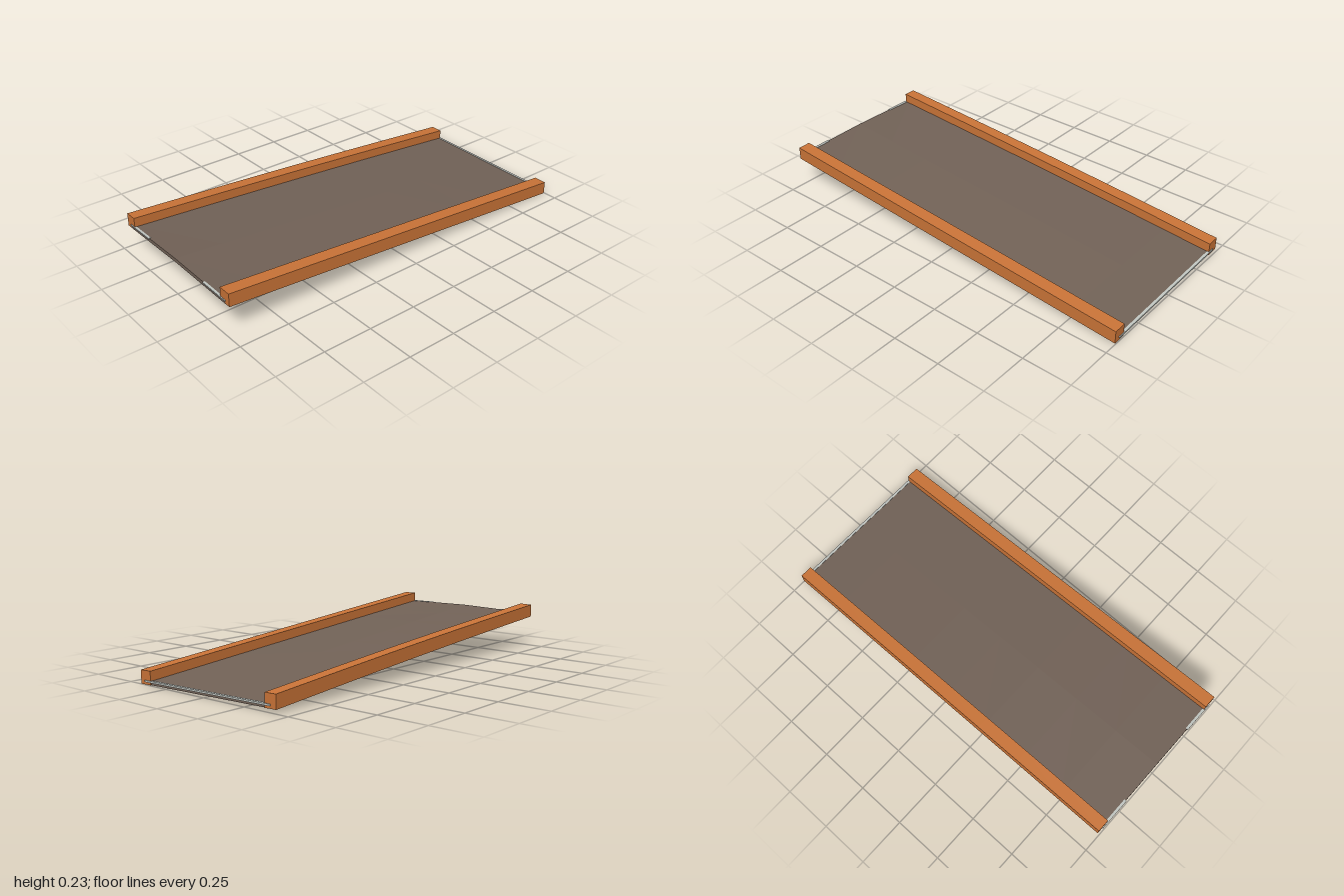
import * as THREE from 'three';

const rail = new THREE.MeshStandardMaterial({ color: 0xcc7538 });
rail.name = 'orange rail';
const road = new THREE.MeshStandardMaterial({ color: 0x736358 });
road.name = 'brown grey deck';
const trim = new THREE.MeshStandardMaterial({ color: 0xc3c8c3 });
trim.name = 'pale end trim';
for (const m of [rail, road, trim]) m.flatShading = true;

// Height of the underside: a slope that is slightly twisted, bowed and crowned
function base(x, z) {
  const t = (z + 1) / 2;
  const left = 0.5 - x / 0.86;
  const back = 0.003 + 0.016 * left;
  const bow = 0.006 * left * Math.sin(Math.PI * t);
  const crown = 0.008 * t * (1 - Math.abs(x) / 0.43);
  return THREE.MathUtils.lerp(back, 0.164, t) + bow + crown;
}

// A box between two corners, bent to follow the slope
function slab(name, material, [x0, x1], [y0, y1], [z0, z1], xSegments, zSegments) {
  const geometry = new THREE.BoxGeometry(x1 - x0, y1 - y0, z1 - z0, xSegments, 1, zSegments);
  geometry.translate((x0 + x1) / 2, (y0 + y1) / 2, (z0 + z1) / 2);
  const p = geometry.attributes.position;
  for (let i = 0; i < p.count; i++) p.setY(i, p.getY(i) + base(p.getX(i), p.getZ(i)));
  geometry.computeVertexNormals();
  const mesh = new THREE.Mesh(geometry, material);
  mesh.name = name;
  return mesh;
}

export function createModel() {
  const group = new THREE.Group();
  group.name = 'slopedRoad';

  // Deck, just proud of the rails underneath
  group.add(slab('deck', road, [-0.4, 0.4], [-0.001, 0.018], [-0.99, 0.995], 2, 8));

  // Side rails
  group.add(slab('leftRail', rail, [0.362, 0.428], [0, 0.065], [-0.996, 0.995], 1, 8));
  group.add(slab('rightRail', rail, [-0.43, -0.366], [0, 0.065], [-0.996, 0.995], 1, 8));

  // Thin pale strips at the deck ends
  group.add(slab('backTrim', trim, [-0.4, 0.4], [0.012, 0.02], [-1, -0.987], 2, 1));
  group.add(slab('frontTrimRight', trim, [-0.4, -0.23], [0.014, 0.0195], [0.987, 1], 1, 1));
  group.add(slab('frontTrimLeft', trim, [0.23, 0.4], [0.014, 0.0195], [0.987, 1], 1, 1));
  return group;
}
